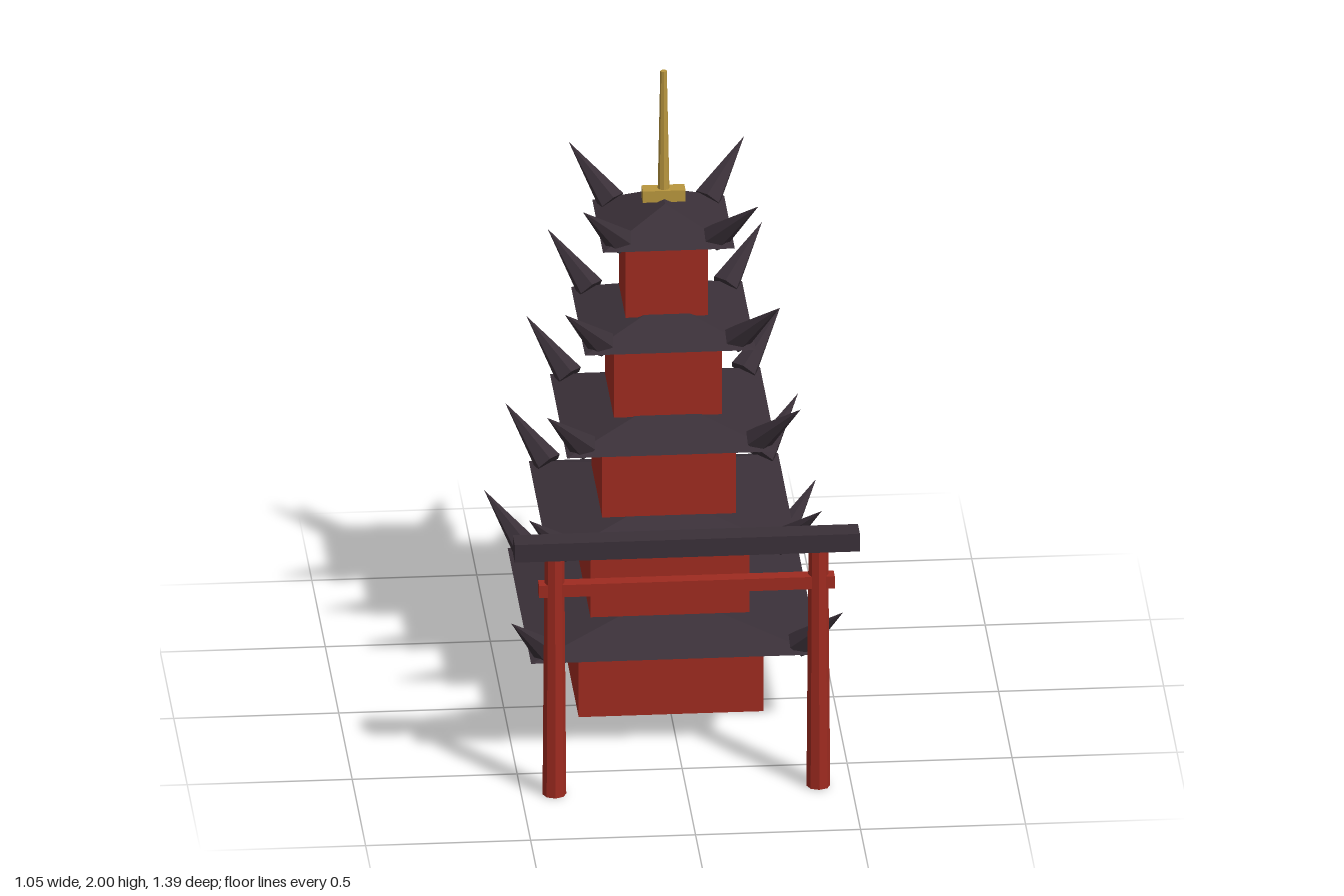
import * as THREE from 'three';

const flat = (name, color) => {
  const m = new THREE.MeshStandardMaterial({ color });
  m.name = name;
  return m;
};

// Closed hip roof: square eave of half-width w, ridge along z, height h
function hipRoof(w, h) {
  const r = w * 0.3;
  const A = [-w, 0, w], B = [w, 0, w], C = [w, 0, -w], D = [-w, 0, -w];
  const F = [0, h, r], K = [0, h, -r];
  const faces = [
    A, B, F,
    C, D, K,
    B, C, K, B, K, F,
    D, A, F, D, F, K,
    A, D, C, A, C, B,
  ];
  const g = new THREE.BufferGeometry();
  g.setAttribute('position', new THREE.Float32BufferAttribute(faces.flat(), 3));
  g.computeVertexNormals();
  return g;
}

// Spike leaning outwards, base centre at the origin
function hornGeometry(radius, out, up) {
  const diag = out * Math.SQRT2;
  const len = Math.hypot(diag, up);
  const g = new THREE.ConeGeometry(radius, len, 6, 1, false, Math.PI / 6);
  g.translate(0, len / 2, 0);
  g.rotateX(Math.atan2(diag, up));
  g.rotateY(Math.PI / 4);
  const n = g.toNonIndexed();
  n.computeVertexNormals();
  return n;
}

function facetedCylinder(rTop, rBottom, h, sides) {
  const g = new THREE.CylinderGeometry(rTop, rBottom, h, sides).toNonIndexed();
  g.computeVertexNormals();
  return g;
}

export function createModel() {
  const red = flat('red lacquer', 0x9e2b20);
  const dark = flat('dark roof tile', 0x3a3038);
  const gold = flat('gold', 0xb8963e);

  const model = new THREE.Group();
  model.name = 'pagodaAndGate';
  const add = (parent, name, geo, mat, x, y, z) => {
    const m = new THREE.Mesh(geo, mat);
    m.name = name;
    m.position.set(x, y, z);
    parent.add(m);
    return m;
  };

  // Pagoda: five shrinking storeys, each with a hip roof and corner spikes
  const pagoda = new THREE.Group();
  pagoda.name = 'pagoda';
  pagoda.position.z = -0.19;
  model.add(pagoda);
  const horn = hornGeometry(0.045, 0.121, 0.15);
  const wallHeight = 0.25, step = 0.311;
  for (let i = 0; i < 5; i++) {
    const base = i * step, eave = base + wallHeight;
    const wall = 0.56 - i * 0.0775, roof = 0.437 - i * 0.0593;
    const tier = new THREE.Group();
    tier.name = 'storey' + (i + 1);
    pagoda.add(tier);
    add(tier, 'walls', new THREE.BoxGeometry(wall, wallHeight, wall), red, 0, base + wallHeight / 2, 0);
    add(tier, 'roof', hipRoof(roof, 0.093), dark, 0, eave, 0);
    for (let k = 0; k < 4; k++) {
      const a = Math.PI / 4 + k * Math.PI / 2;
      const d = (roof - 0.055) * Math.SQRT2;
      const spike = add(tier, 'cornerSpike', horn, dark, Math.sin(a) * d, eave + 0.015, Math.cos(a) * d);
      spike.rotation.y = k * Math.PI / 2;
    }
  }

  // Finial
  add(pagoda, 'finialBase', new THREE.BoxGeometry(0.13, 0.037, 0.048), gold, 0, 1.5955, 0);
  add(pagoda, 'finialPole', facetedCylinder(0.01, 0.018, 0.4, 8), gold, 0, 1.8, 0);

  // Gate
  const gate = new THREE.Group();
  gate.name = 'gate';
  gate.position.z = 0.658;
  model.add(gate);
  for (const s of [-1, 1]) {
    add(gate, s > 0 ? 'leftPost' : 'rightPost', facetedCylinder(0.03, 0.036, 0.784, 8), red, s * 0.4, 0.392, 0);
  }
  add(gate, 'lowerBeam', new THREE.BoxGeometry(0.896, 0.04, 0.044), red, 0, 0.677, 0);
  add(gate, 'topBeam', new THREE.BoxGeometry(1.046, 0.058, 0.075), dark, 0, 0.812, 0);

  return model;
}
